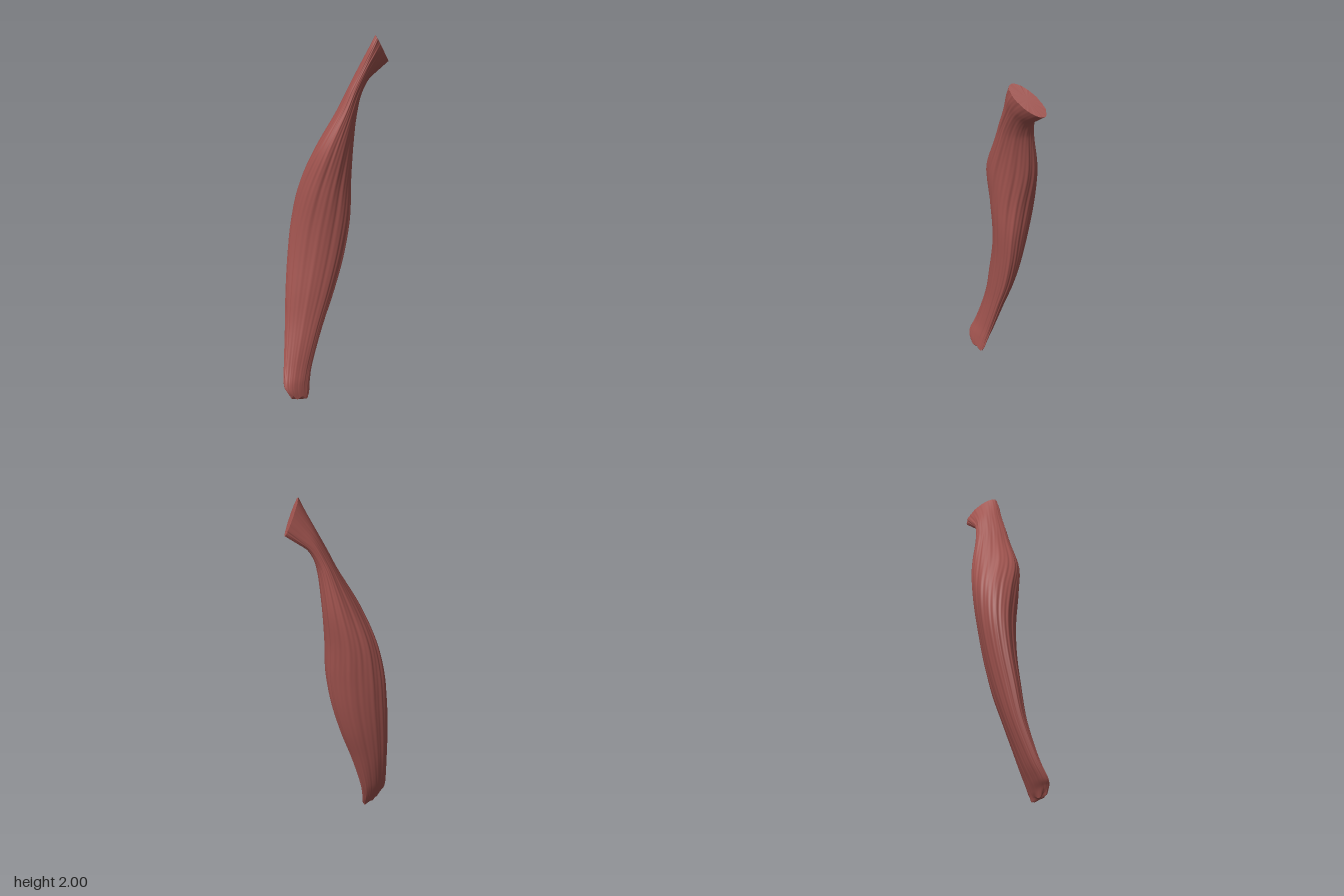
import * as THREE from 'three';

const SIDES = 144, RINGS = 90;

// Cross-sections: [y, left x, right x, back z, front z, skew, tilt across x, tilt across z]
const sections = [
  [0.015, -0.305, -0.195, 0.045, 0.068, 0.0, -0.01, 0],
  [0.05, -0.328, -0.183, 0.03, 0.066, 0.0, -0.01, 0],
  [0.1, -0.335, -0.17, 0.005, 0.06, 0.1, 0, 0],
  [0.2, -0.308, -0.14, -0.035, 0.047, 0.35, 0, 0],
  [0.4, -0.265, -0.07, -0.092, 0.045, 0.5, 0, 0],
  [0.6, -0.24, 0.008, -0.13, 0.055, 0.5, 0, 0],
  [0.8, -0.213, 0.066, -0.157, 0.07, 0.5, 0, 0],
  [1.0, -0.188, 0.1, -0.17, 0.088, 0.4, 0, 0],
  [1.2, -0.157, 0.117, -0.156, 0.102, 0.1, 0, 0],
  [1.4, -0.104, 0.144, -0.107, 0.12, -0.3, 0, 0],
  [1.6, -0.003, 0.157, -0.045, 0.13, -0.55, 0, 0],
  [1.7, 0.05, 0.172, -0.015, 0.138, -0.65, -0.02, 0],
  [1.8, 0.112, 0.206, 0.012, 0.153, -0.75, -0.05, -0.01],
  [1.87, 0.15, 0.265, 0.035, 0.168, -0.82, -0.068, -0.02],
  [1.925, 0.175, 0.332, 0.055, 0.172, -0.87, -0.07, -0.03],
];

// One smooth curve per column of the table
const columns = sections[0].map((_, c) =>
  new THREE.SplineCurve(sections.map((row, i) => new THREE.Vector2(i, row[c]))));

// Fine lengthwise fibres that drift slowly around the belly
function fibre(t, u) {
  const s = u * 6;
  return 1
    + 0.014 * Math.sin(9 * t + 1.3 * s + Math.sin(s))
    + 0.011 * Math.sin(17 * t - 0.9 * s + 2 * Math.sin(0.7 * s))
    + 0.009 * Math.sin(31 * t + 1.7 * s + 1.5 * Math.sin(1.3 * s)) - 0.012;
}

function ring(u) {
  const [y, xl, xr, zb, zf, skew, tiltX, tiltZ] = columns.map((c) => c.getPoint(u).y);
  const a = (xr - xl) / 2, b = (zf - zb) / 2, phi = Math.asin(skew);
  const points = [];
  for (let j = 0; j < SIDES; j++) {
    const t = (j / SIDES) * Math.PI * 2, r = fibre(t, u);
    const ragged = u < 0.06 ? (1 - u / 0.06) * 0.008 * Math.sin(5 * t + 1) : 0;
    points.push(new THREE.Vector3(
      (xl + xr) / 2 + a * r * Math.cos(t),
      y + tiltX * Math.cos(t) + tiltZ * Math.sin(t) + ragged,
      (zb + zf) / 2 + b * r * Math.sin(t + phi)));
  }
  return points;
}

function makeMesh(name, points, index, material) {
  const geometry = new THREE.BufferGeometry().setFromPoints(points);
  geometry.setIndex(index);
  geometry.computeVertexNormals();
  const mesh = new THREE.Mesh(geometry, material);
  mesh.name = name;
  return mesh;
}

// Slightly domed end face
function makeCap(name, points, up, material) {
  const centre = new THREE.Vector3();
  points.forEach((p) => centre.addScaledVector(p, 1 / points.length));
  centre.y += up ? 0.006 : -0.012;
  const index = [];
  for (let j = 0; j < SIDES; j++) {
    const k = (j + 1) % SIDES;
    index.push(SIDES, up ? k : j, up ? j : k);
  }
  return makeMesh(name, [...points, centre], index, material);
}

export function createModel() {
  const group = new THREE.Group();
  group.name = 'muscle';
  const flesh = new THREE.MeshStandardMaterial({ color: 0xa35550 });
  flesh.name = 'flesh red';

  const rings = [];
  for (let i = 0; i <= RINGS; i++) rings.push(ring(i / RINGS));

  // Muscle belly lofted through the rings
  const index = [];
  for (let i = 0; i < RINGS; i++) {
    for (let j = 0; j < SIDES; j++) {
      const k = (j + 1) % SIDES;
      const a = i * SIDES + j, b = i * SIDES + k;
      index.push(a, a + SIDES, b, b, a + SIDES, b + SIDES);
    }
  }
  group.add(makeMesh('muscleBelly', rings.flat(), index, flesh));

  // Flat attachment ends
  group.add(makeCap('upperAttachment', rings[RINGS], true, flesh));
  group.add(makeCap('lowerAttachment', rings[0], false, flesh));
  return group;
}
